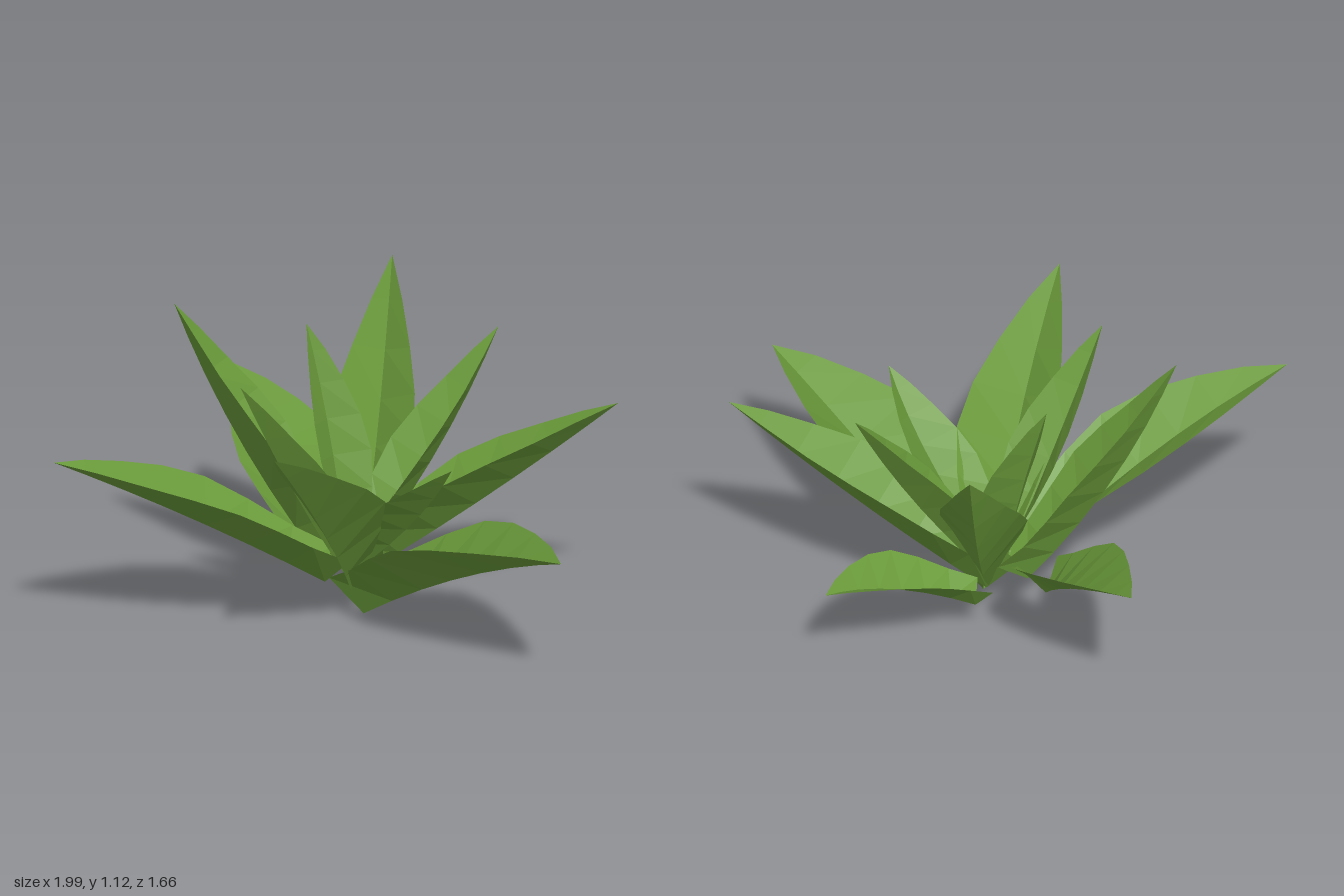
import * as THREE from 'three';

const material = new THREE.MeshStandardMaterial({ color: 0x6a9a3a, flatShading: true, side: THREE.DoubleSide });

// Stations along a leaf: [position, relative width, relative fold depth]
const stations = [
  [0, 0.4, 0.85], [0.14, 0.58, 0.8], [0.29, 0.83, 0.86], [0.44, 1, 0.88],
  [0.59, 0.91, 0.72], [0.74, 0.66, 0.48], [0.88, 0.35, 0.25], [1, 0, 0],
];

// Each leaf: root, middle and tip of its keel, full width, fold depth per half width
const leaves = [
  { name: 'lowerLeafFrontRight', root: [-0.07, 0.12, 0.05], mid: [-0.53, 0.45, 0.31], tip: [-1, 0.72, 0.51], width: 0.4, fold: 0.7 },
  { name: 'lowerLeafBackRight', root: [-0.17, 0.13, -0.15], mid: [-0.3, 0.37, -0.46], tip: [-0.53, 0.6, -0.83], width: 0.4, fold: 0.7 },
  { name: 'lowerLeafBackLeft', root: [0.08, 0.12, -0.23], mid: [0.37, 0.28, -0.38], tip: [0.6, 0.38, -0.58], width: 0.28, fold: 0.7 },
  { name: 'lowerLeafFrontLeft', root: [0.07, 0, 0.04], mid: [0.48, 0.3, 0.38], tip: [0.89, 0.53, 0.77], width: 0.45, fold: 0.85 },
  { name: 'middleLeafLeft', root: [0.05, 0.1, -0.09], mid: [0.52, 0.45, -0.07], tip: [0.99, 0.84, -0.04], width: 0.32, fold: 1.1 },
  { name: 'middleLeafFront', root: [0.03, 0.08, 0.05], mid: [-0.03, 0.47, 0.42], tip: [-0.15, 0.9, 0.83], width: 0.36, fold: 1.1 },
  { name: 'middleLeafBack', root: [0.04, 0.13, -0.12], mid: [0.05, 0.51, -0.49], tip: [0.06, 1.06, -0.81], width: 0.32, fold: 1.25 },
  { name: 'middleLeafRight', root: [-0.1, 0.14, -0.08], mid: [-0.41, 0.61, -0.1], tip: [-0.64, 1.12, -0.09], width: 0.29, fold: 1.1 },
  { name: 'innerLeafBackLeft', root: [0.04, 0.14, -0.08], mid: [0.31, 0.56, -0.21], tip: [0.51, 0.99, -0.35], width: 0.26, fold: 1.05 },
  { name: 'innerLeafFrontLeft', root: [0.02, 0.14, 0.01], mid: [0.27, 0.43, 0.21], tip: [0.44, 0.72, 0.4], width: 0.25, fold: 0.9 },
  { name: 'innerLeafFrontRight', root: [-0.01, 0.14, 0], mid: [-0.18, 0.55, 0.19], tip: [-0.34, 0.98, 0.34], width: 0.24, fold: 1 },
  { name: 'innerLeafBackRight', root: [0, 0.14, -0.06], mid: [-0.08, 0.58, -0.18], tip: [-0.18, 1, -0.26], width: 0.22, fold: 0.9 },
];

// A tapered blade with a V-shaped cross-section, swept along a bent keel
function makeLeaf({ name, root, mid, tip, width, fold }) {
  const a = new THREE.Vector3(...root);
  const b = new THREE.Vector3(...tip);
  const control = new THREE.Vector3(...mid).multiplyScalar(2).addScaledVector(a, -0.5).addScaledVector(b, -0.5);
  const keel = new THREE.QuadraticBezierCurve3(a, control, b);
  const side = new THREE.Vector3(a.z - b.z, 0, b.x - a.x).normalize();

  // Rows of three points: one edge, keel, other edge
  const points = [];
  for (const [t, w, depth] of stations) {
    const p = keel.getPoint(t);
    const up = new THREE.Vector3().crossVectors(side, keel.getTangent(t)).normalize();
    for (const s of [-1, 0, 1]) {
      points.push(p.clone()
        .addScaledVector(side, (s * w * width) / 2)
        .addScaledVector(up, (Math.abs(s) * depth * fold * width) / 2));
    }
  }

  // Two strips of faces, closing to a point at the tip
  const index = [];
  const last = stations.length - 2;
  for (let i = 0; i <= last; i++) {
    for (let j = 0; j < 2; j++) {
      const k = i * 3 + j;
      index.push(k, k + 1, k + 3);
      if (i < last) index.push(k + 1, k + 4, k + 3);
    }
  }
  const indexed = new THREE.BufferGeometry().setFromPoints(points);
  indexed.setIndex(index);
  const geometry = indexed.toNonIndexed();
  geometry.computeVertexNormals();

  const mesh = new THREE.Mesh(geometry, material);
  mesh.name = name;
  return mesh;
}

export function createModel() {
  const plant = new THREE.Group();
  plant.name = 'rosettePlant';
  for (const leaf of leaves) plant.add(makeLeaf(leaf));
  return plant;
}
